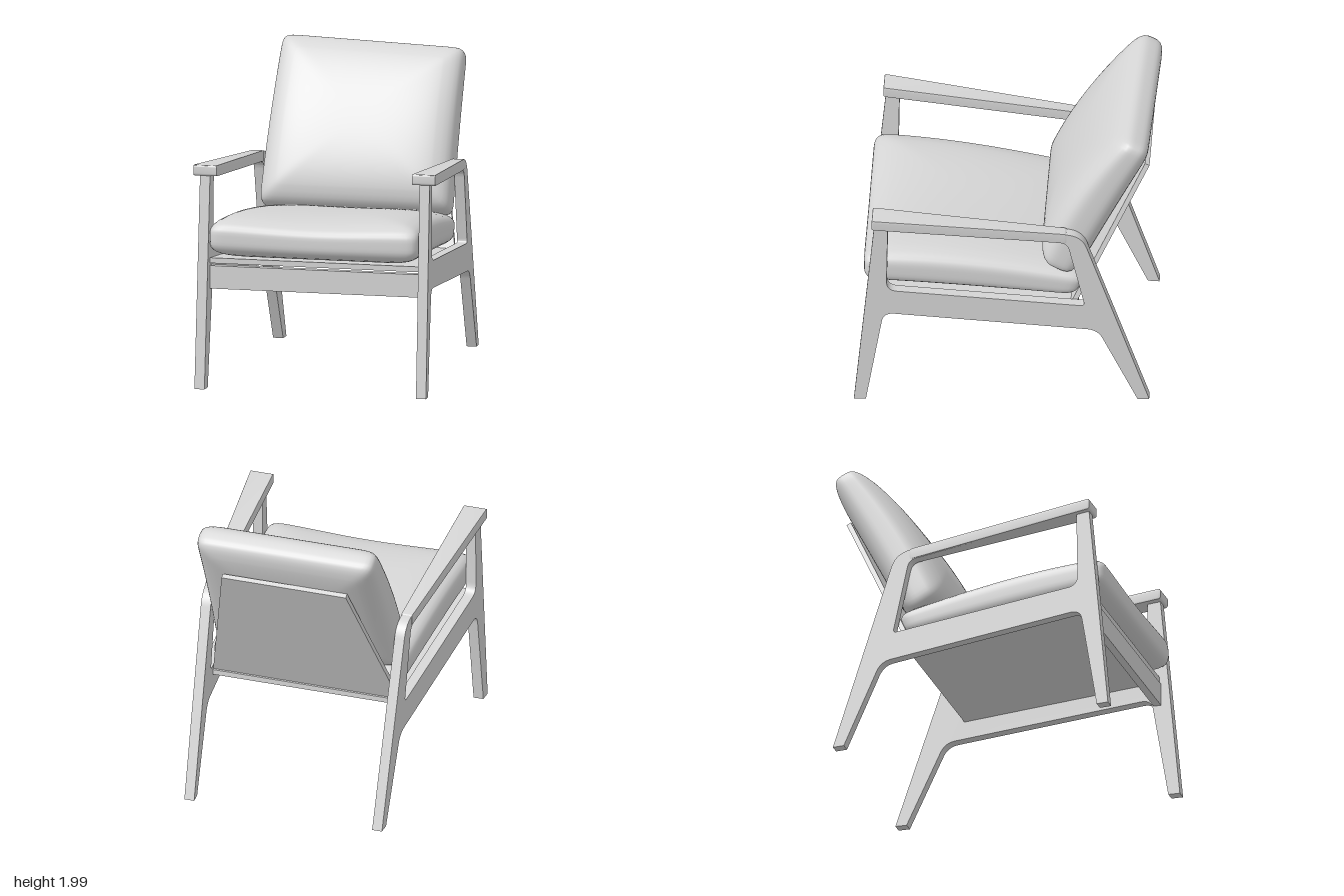
import * as THREE from 'three';
import { mergeVertices, toCreasedNormals } from 'three/addons/utils/BufferGeometryUtils.js';
import { RoundedBoxGeometry } from 'three/addons/geometries/RoundedBoxGeometry.js';

const grey = new THREE.MeshStandardMaterial({ color: 0xd6d6d6 });
grey.name = 'light grey';

// Moves every vertex of a geometry by a rule.
function warp(geo, rule) {
  const p = geo.attributes.position;
  for (let i = 0; i < p.count; i++) p.setXYZ(i, ...rule(p.getX(i), p.getY(i), p.getZ(i)));
  return geo;
}

function creased(geo) {
  geo = geo.index ? geo.toNonIndexed() : geo;
  geo.computeVertexNormals();
  return toCreasedNormals(geo, 0.6);
}

// Mirrors in x and keeps the faces outward.
function mirrored(geo) {
  const g = geo.clone();
  const src = geo.attributes.position;
  const dst = g.attributes.position;
  for (let i = 0; i < src.count; i++) {
    const j = i - (i % 3) + [0, 2, 1][i % 3];
    dst.setXYZ(i, -src.getX(j), src.getY(j), src.getZ(j));
  }
  return creased(g);
}

// Closed outline with rounded corners; each point is [z, y, radius].
function outline(points, path) {
  const n = points.length;
  points.forEach(([x, y, r = 0], i) => {
    const c = new THREE.Vector2(x, y);
    const toward = (k) => new THREE.Vector2(...points[(k + n) % n].slice(0, 2)).sub(c).normalize().multiplyScalar(r).add(c);
    const a = toward(i - 1), b = toward(i + 1);
    if (i === 0) path.moveTo(a.x, a.y); else path.lineTo(a.x, a.y);
    if (r) path.quadraticCurveTo(x, y, b.x, b.y);
  });
  path.closePath();
  return path;
}

// Smooth pillow: a subdivided cube pulled onto a squarish ellipsoid, then mapped.
function cushion(rule, b, a = 24) {
  let g = new THREE.BoxGeometry(2, 2, 2, 40, 14, 40);
  g.deleteAttribute('normal');
  g.deleteAttribute('uv');
  g = mergeVertices(g, 1e-4);
  warp(g, (u, v, w) => {
    const plan = Math.pow(Math.abs(u) ** a + Math.abs(w) ** a, b / a);
    const k = Math.pow(plan + Math.abs(v) ** b, -1 / b);
    return rule(u * k, v * k, w * k);
  });
  g.computeVertexNormals();
  return g;
}

const lerp = THREE.MathUtils.lerp;
const frameX = (z) => 0.682 + 0.051 * z; // side frames splay toward the front

export function createModel() {
  const model = new THREE.Group();
  model.name = 'armchair';
  const add = (name, geo) => {
    const m = new THREE.Mesh(geo, grey);
    m.name = name;
    model.add(m);
  };

  // Side frames: legs, rail and arm support in one rounded cut-out
  const profile = outline([
    [0.965, 0], [0.83, 1.43], [-0.497, 1.3, 0.1], [-0.93, 0],
    [-0.855, 0], [-0.6, 0.55, 0.07], [0.775, 0.686, 0.07], [0.888, 0],
  ], new THREE.Shape());
  profile.holes.push(outline([
    [0.748, 1.37], [0.757, 0.865, 0.07], [-0.517, 0.742, 0.03], [-0.405, 1.24, 0.05],
  ], new THREE.Path()));
  let frame = new THREE.ExtrudeGeometry(profile, { depth: 0.066, bevelEnabled: false, curveSegments: 10 });
  frame = creased(warp(frame, (u, v, w) => [frameX(u) + 0.033 - w, v, u]));
  add('leftSideFrame', frame);
  add('rightSideFrame', mirrored(frame));

  // Armrests: broad at the front, narrowing and falling toward the back
  let arm = new RoundedBoxGeometry(1, 0.07, 1.25, 3, 0.014);
  arm = creased(warp(arm, (x, y, z) => {
    const t = z / 1.25 + 0.5;
    return [lerp(lerp(0.624, 0.644, t), lerp(0.698, 0.8, t), x + 0.5),
      y + lerp(1.279, 1.41, t), lerp(-0.4, 0.85, t)];
  }));
  add('leftArmrest', arm);
  add('rightArmrest', mirrored(arm));

  // Front rail
  const rail = new THREE.BoxGeometry(1.39, 0.15, 0.05);
  add('frontRail', rail.translate(0, 0.713, 0.815));

  // Sloping seat board between the side frames
  const board = new THREE.BoxGeometry(2, 0.035, 1);
  add('seatBoard', creased(warp(board, (x, y, z) => [
    x * lerp(0.635, 0.7, z + 0.5), y + lerp(0.7, 0.82, z + 0.5), lerp(-0.47, 0.83, z + 0.5)])));

  // Back board, tapering upward
  const backBoard = new THREE.BoxGeometry(2, 1, 0.032);
  add('backBoard', creased(warp(backBoard, (x, y, z) => {
    const t = y + 0.5;
    return [x * lerp(0.63, 0.42, t), lerp(0.71, 1.69, t) + z * 0.447, lerp(-0.435, -0.905, t) + z * 0.894];
  })));

  // Seat cushion, its rear end leaning along the back board
  add('seatCushion', cushion((u, v, w) => {
    const t = (w + 1) / 2;
    const top = 0.95 + 0.16 * Math.sin(1.75 * t) - 0.012 * Math.cos(u * 3) * t;
    const bottom = lerp(0.725, 0.838, t);
    return [u * lerp(0.625, 0.695, t), lerp(bottom, top, (v + 1) / 2),
      lerp(-0.487 - 0.045 * v, 0.91, t)];
  }, 4));

  // Back cushion, leaning on the board and thinner at the top
  add('backCushion', cushion((u, v, w) => {
    const s = (1 - w) / 2;
    const thick = (0.35 + 0.16 * s - 0.245 * s * s) * (v + 1) / 2;
    const along = s * (1.135 - 0.018 * u);
    return [u * lerp(0.63, 0.605, s),
      0.885 + 0.894 * along + 0.447 * thick,
      -0.485 - 0.447 * along + 0.894 * thick + 0.015 * u * s];
  }, 3.6));

  return model;
}
